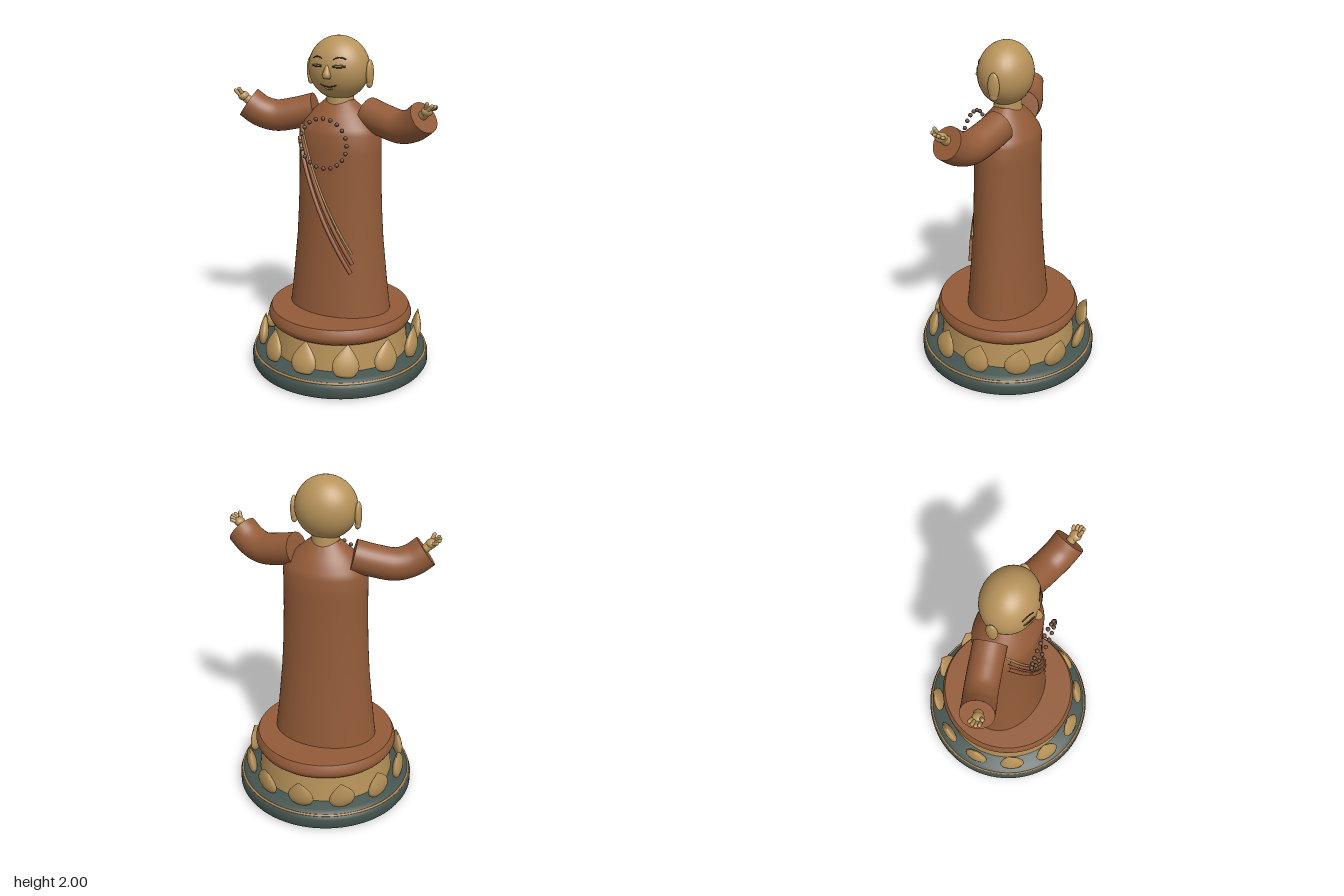
import * as THREE from 'three';
import { toCreasedNormals } from 'three/addons/utils/BufferGeometryUtils.js';

const mat = (name, color) => Object.assign(new THREE.MeshStandardMaterial({ color }), { name });
const V = (x, y, z) => new THREE.Vector3(x, y, z);

export function createModel() {
  const model = new THREE.Group();
  const robeBrown = mat('robe brown', 0x935b38);
  const gold = mat('old gold', 0xb8935a);
  const trim = mat('trim gold', 0xb3834a);
  const slate = mat('slate green', 0x44544f);
  const beadBrown = mat('bead brown', 0x5f4033);
  const ink = mat('dark line', 0x3d2b1e);
  const lip = mat('lip brown', 0x9a6640);

  const add = (name, geometry, material, parent = model) => {
    const mesh = new THREE.Mesh(geometry, material);
    mesh.name = name;
    parent.add(mesh);
    return mesh;
  };
  const lathe = (pts, segments = 64) =>
    new THREE.LatheGeometry(pts.map(([r, y]) => new THREE.Vector2(r, y)), segments);
  const ball = (name, material, pos, scale, parent = model) => {
    const mesh = add(name, new THREE.SphereGeometry(1, 32, 24), material, parent);
    mesh.position.set(...pos);
    mesh.scale.set(...scale);
    return mesh;
  };
  const tube = (name, pts, r, material, parent = model, steps = 24, sides = 8) =>
    add(name, new THREE.TubeGeometry(new THREE.CatmullRomCurve3(pts), steps, r, sides), material, parent);
  // Capsule running from point a to point b
  const capsule = (name, a, b, r, material, parent) => {
    const dir = b.clone().sub(a);
    const mesh = add(name, new THREE.CapsuleGeometry(r, dir.length(), 6, 12), material, parent);
    mesh.position.copy(a).add(b).multiplyScalar(0.5);
    mesh.quaternion.setFromUnitVectors(V(0, 1, 0), dir.normalize());
  };

  // Pedestal
  add('baseDisc', toCreasedNormals(lathe([[0, 0], [0.515, 0], [0.535, 0.008], [0.545, 0.025], [0.545, 0.075],
    [0.537, 0.095], [0.525, 0.105], [0.5, 0.12], [0, 0.12]], 80), 0.6), slate);
  const ring = add('baseTrim', new THREE.TorusGeometry(0.53, 0.007, 8, 80), trim);
  ring.rotation.x = Math.PI / 2;
  ring.position.y = 0.1;
  add('lotusDrum', toCreasedNormals(lathe([[0, 0.11], [0.42, 0.11], [0.4, 0.3], [0, 0.3]]), 0.6), gold);
  add('standTop', toCreasedNormals(lathe([[0, 0.28], [0.405, 0.28], [0.425, 0.295], [0.438, 0.32], [0.438, 0.335],
    [0.43, 0.36], [0.42, 0.38], [0, 0.38]], 80), 0.6), robeBrown);

  // Ring of pointed petals, all leaning the same way
  const petal = lathe([[0, 0], [0.045, 0.003], [0.063, 0.018], [0.077, 0.045], [0.079, 0.072],
    [0.068, 0.105], [0.045, 0.14], [0.02, 0.17], [0.005, 0.188], [0, 0.192]], 28);
  petal.scale(1, 1, 0.38);
  for (let i = 0; i < 12; i++) {
    const angle = i * Math.PI / 6;
    const mesh = add('petal', petal, gold);
    mesh.position.set(Math.sin(angle) * 0.475, 0.12, Math.cos(angle) * 0.475 + 0.015);
    mesh.rotation.set(-0.25, angle, 0);
  }

  // Robe: oval body flaring to the hem
  const depth = 0.735;
  const robeProfile = [[0.318, 0.38], [0.305, 0.48], [0.287, 0.65], [0.27, 0.82], [0.259, 1.0],
    [0.252, 1.2], [0.25, 1.35], [0.25, 1.455], [0.235, 1.49], [0.175, 1.565], [0.085, 1.64]];
  const robe = lathe([[0, 0.375], ...robeProfile, [0, 1.645]]);
  robe.scale(1, 1, depth);
  add('robe', toCreasedNormals(robe, 0.6), robeBrown);
  const robeRadius = (y) => {
    const i = Math.max(1, robeProfile.findIndex((p) => p[1] >= y));
    const [r0, y0] = robeProfile[i - 1], [r1, y1] = robeProfile[i];
    return r0 + (r1 - r0) * (y - y0) / (y1 - y0);
  };

  // Sash cords laid over the chest
  const sash = (name, x0, y0, x1, y1, r, material) => {
    const pts = [];
    for (let i = 0; i <= 12; i++) {
      const t = i / 12, x = x0 + (x1 - x0) * t - 0.025 * Math.sin(Math.PI * t);
      const y = y0 + (y1 - y0) * t;
      const a = robeRadius(y);
      pts.push(V(x, y, depth * Math.sqrt(Math.max(0, a * a - x * x)) + r * 0.5));
    }
    tube(name, pts, r, material, model, 40);
  };
  sash('sashTrim', -0.195, 1.53, 0.158, 0.77, 0.006, gold);
  sash('sashFold', -0.195, 1.49, 0.163, 0.71, 0.012, robeBrown);
  sash('sashFold', -0.21, 1.42, 0.157, 0.655, 0.012, robeBrown);

  // Bead necklace
  const bead = new THREE.SphereGeometry(0.0125, 14, 10);
  for (let i = 0; i < 20; i++) {
    const a = i * Math.PI / 10;
    add('bead', bead, beadBrown).position.set(Math.sin(a) * 0.145, 1.417 + Math.cos(a) * 0.143, 0.215);
  }

  // Arms with sleeves and open hands
  for (const s of [-1, 1]) {
    const arm = new THREE.Group();
    arm.name = s > 0 ? 'leftArm' : 'rightArm';
    model.add(arm);
    const P = (x, y, z) => V(s * x, y, z);
    const pts = [P(0.168, 1.567, -0.02), P(0.28, 1.537, 0.01), P(0.4, 1.518, 0.045),
      P(0.485, 1.543, 0.077), P(0.552, 1.593, 0.102)];
    tube('sleeve', pts, 0.093, robeBrown, arm, 32, 32);
    const curve = new THREE.CatmullRomCurve3(pts);
    for (const end of [0, 1]) {
      const cap = add('sleeveEnd', new THREE.CircleGeometry(0.093, 32), robeBrown, arm);
      cap.position.copy(curve.getPoint(end));
      cap.quaternion.setFromUnitVectors(V(0, 0, 1), curve.getTangent(end).multiplyScalar(end ? 1 : -1));
    }
    capsule('wrist', P(0.53, 1.59, 0.1), P(0.57, 1.626, 0.118), 0.026, gold, arm);
    ball('palm', gold, [s * 0.575, 1.632, 0.122], [0.032, 0.027, 0.034], arm);
    const tips = [[0.612, 1.647, 0.092], [0.622, 1.656, 0.112], [0.622, 1.661, 0.133], [0.612, 1.666, 0.15]];
    tips.forEach(([x, y, z], i) =>
      capsule('finger', P(0.578, 1.632, 0.104 + i * 0.013), P(x, y, z), 0.0105, gold, arm));
    capsule('thumb', P(0.57, 1.638, 0.135), P(0.585, 1.677, 0.152), 0.011, gold, arm);
  }

  // Head, neck and ears
  const C = [0, 1.82, 0.012], R = [0.18, 0.18, 0.156];
  ball('head', gold, C, R);
  add('neck', new THREE.CylinderGeometry(0.075, 0.082, 0.1, 32), gold).position.y = 1.66;
  for (const s of [-1, 1]) {
    ball('ear', gold, [s * 0.187, 1.795, 0.003], [0.019, 0.077, 0.034]);
    ball('earLobe', gold, [s * 0.185, 1.74, 0.003], [0.017, 0.026, 0.025]);
  }
  const nose = add('nose', lathe([[0, -0.022], [0.016, -0.02], [0.026, -0.008], [0.022, 0.01], [0.012, 0.04], [0, 0.065]], 24), gold);
  nose.position.set(0, 1.795, 0.169);
  nose.rotation.x = -0.15;

  // Thin face lines following the head surface
  const faceLine = (name, cx, cy, half, rise, r, material) => {
    const pts = [-1, -0.5, 0, 0.5, 1].map((t) => {
      const x = cx + half * t, y = cy + rise * (1 - t * t);
      return V(x, y, C[2] + R[2] * Math.sqrt(1 - (x / R[0]) ** 2 - ((y - C[1]) / R[1]) ** 2));
    });
    tube(name, pts, r, material);
  };
  for (const s of [-1, 1]) {
    faceLine('eyebrow', s * 0.068, 1.88, 0.034, 0.011, 0.0035, ink);
    faceLine('eyeLid', s * 0.068, 1.846, 0.034, 0.003, 0.003, lip);
    faceLine('closedEye', s * 0.068, 1.842, 0.036, -0.005, 0.0035, ink);
    faceLine('nostril', s * 0.014, 1.774, 0.006, 0.002, 0.004, ink);
  }
  faceLine('mouth', 0, 1.738, 0.05, -0.011, 0.0035, ink);
  faceLine('lowerLip', 0, 1.725, 0.028, -0.01, 0.006, lip);
  return model;
}
